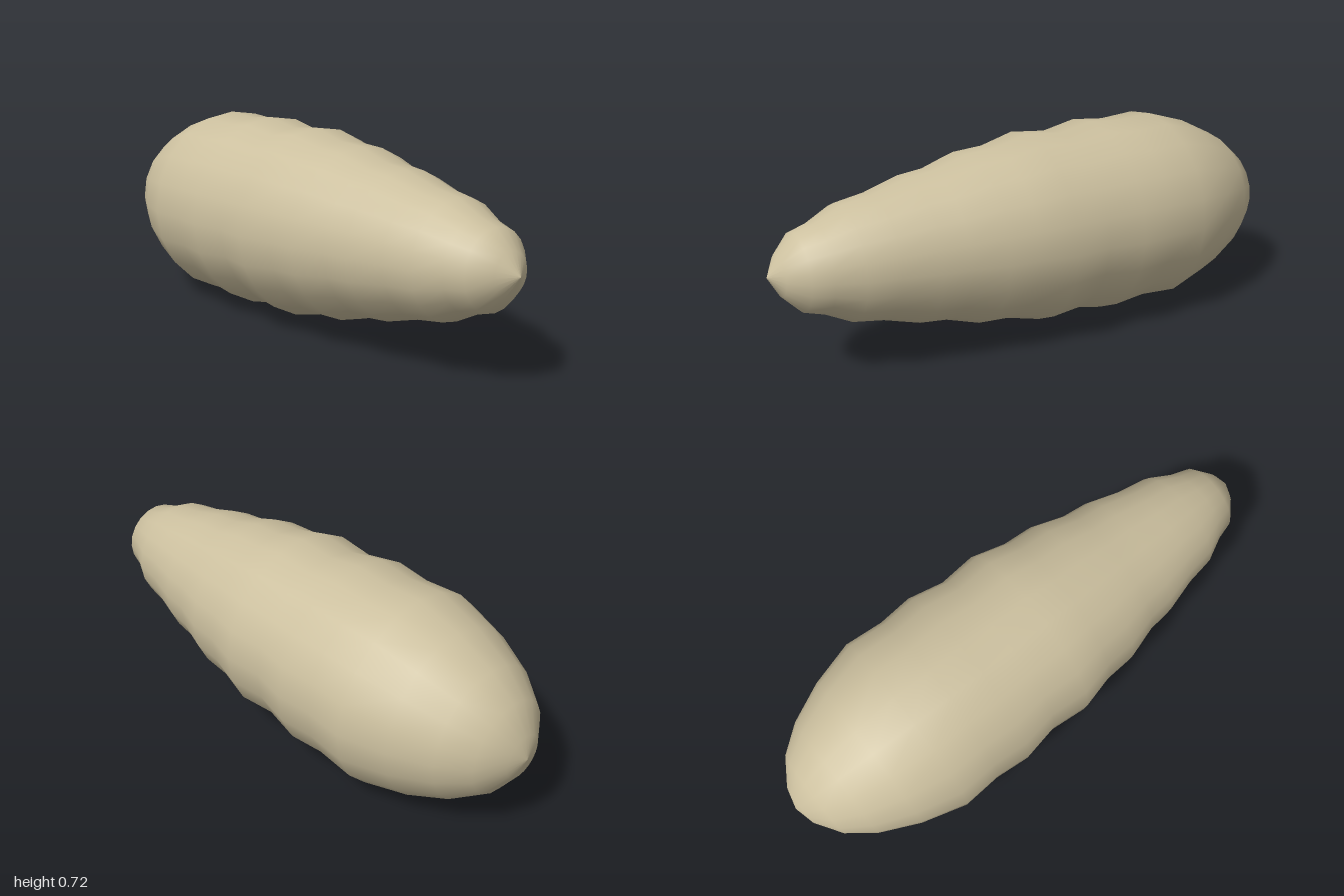
import * as THREE from 'three';

// [position along the body, radius], from blunt back to pointed front
const PROFILE = [
  [-1, 0], [-0.98, 0.078], [-0.92, 0.17], [-0.825, 0.243], [-0.685, 0.309],
  [-0.52, 0.357], [-0.375, 0.347], [-0.245, 0.359], [-0.11, 0.333], [0.03, 0.346],
  [0.16, 0.313], [0.275, 0.306], [0.4, 0.267], [0.5, 0.256], [0.63, 0.218],
  [0.74, 0.2], [0.83, 0.155], [0.9, 0.134], [0.96, 0.072], [1, 0],
];

export function createModel() {
  const group = new THREE.Group();
  group.name = 'taperedBody';
  const tan = new THREE.MeshStandardMaterial({ color: 0xccc09f });
  tan.name = 'tan';

  // Ridged, tapered body turned around its long axis
  const points = PROFILE.map(([along, radius]) => new THREE.Vector2(radius, along));
  const geometry = new THREE.LatheGeometry(points, 20);
  // Lay it along z with the front tip slightly raised
  geometry.rotateX(Math.PI / 2 - 0.025);
  geometry.computeBoundingBox();
  geometry.translate(0, -geometry.boundingBox.min.y, 0);

  const body = new THREE.Mesh(geometry, tan);
  body.name = 'body';
  group.add(body);
  return group;
}
